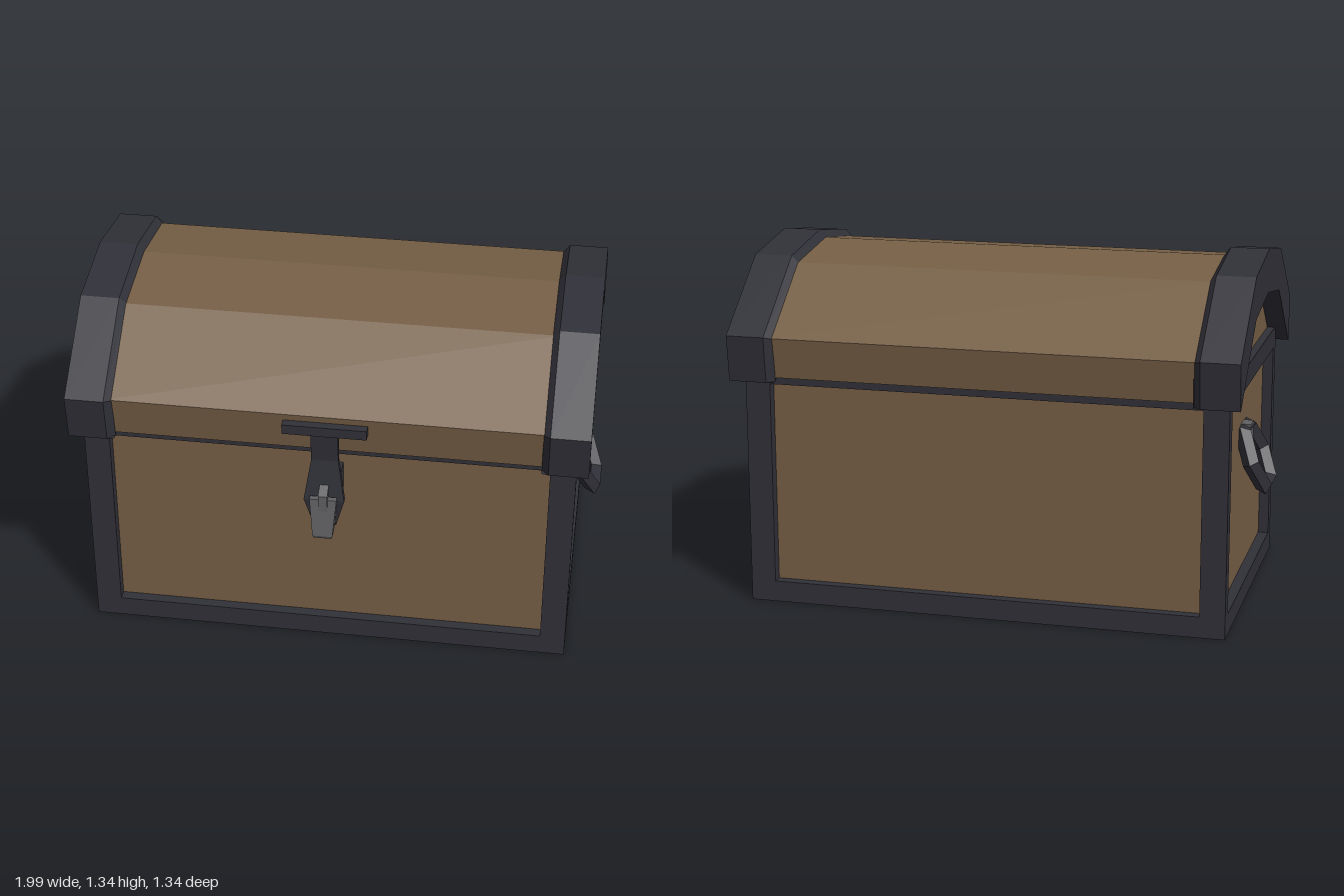
import * as THREE from 'three';

const mat = (name, color) => {
  const m = new THREE.MeshStandardMaterial({ color, flatShading: true });
  m.name = name;
  return m;
};

// Joins cross-sections (arrays of [x, y, z]) into a closed, flat-shaded solid
function loft(rings) {
  const pos = [];
  const tri = (a, b, c) => pos.push(...a, ...b, ...c);
  const n = rings[0].length;
  for (let i = 0; i < rings.length - 1; i++) {
    for (let j = 0; j < n; j++) {
      const k = (j + 1) % n;
      const a = rings[i][j], b = rings[i][k], c = rings[i + 1][k], d = rings[i + 1][j];
      tri(a, b, c);
      tri(a, c, d);
    }
  }
  const first = rings[0], last = rings[rings.length - 1];
  for (let j = 1; j < n - 1; j++) {
    tri(first[0], first[j + 1], first[j]);
    tri(last[0], last[j], last[j + 1]);
  }
  const g = new THREE.BufferGeometry();
  g.setAttribute('position', new THREE.Float32BufferAttribute(pos, 3));
  g.computeVertexNormals();
  return g;
}

// Rectangular section for lofts that run downwards
const rect = (y, half, back, front) => [[half, y, back], [half, y, front], [-half, y, front], [-half, y, back]];

// Half profile as [z, y] from front edge to ridge, mirrored to the back
const fullArch = (half) => [...half, ...half.slice(0, -1).reverse().map(([z, y]) => [-z, y])];

// Solid with a (z, y) profile, centred across x
function slab(profile, width) {
  const shape = new THREE.Shape(profile.map(([z, y]) => new THREE.Vector2(z, y)));
  const g = new THREE.ExtrudeGeometry(shape, { depth: width, bevelEnabled: false });
  g.translate(0, 0, -width / 2);
  g.rotateY(-Math.PI / 2);
  return g;
}

export function createModel() {
  const wood = mat('wood', 0x765f46);
  const iron = mat('dark iron', 0x303038);
  const steel = mat('grey steel', 0x616164);

  const model = new THREE.Group();
  model.name = 'chest';
  const body = new THREE.Group();
  body.name = 'chestBody';
  body.position.z = -0.028;
  model.add(body);

  const add = (parent, name, geometry, material) => {
    const mesh = new THREE.Mesh(geometry, material);
    mesh.name = name;
    parent.add(mesh);
    return mesh;
  };
  // Box given by its limits
  const box = (parent, name, material, [x0, x1], [y0, y1], [z0, z1]) => {
    const g = new THREE.BoxGeometry(x1 - x0, y1 - y0, z1 - z0);
    g.translate((x0 + x1) / 2, (y0 + y1) / 2, (z0 + z1) / 2);
    return add(parent, name, g, material);
  };

  // Recessed wooden panels and the iron base
  const W = 0.91, D = 0.568, H = 0.93;
  box(body, 'panels', wood, [-0.87, 0.87], [0.04, 0.9], [-0.528, 0.528]);
  box(body, 'base', iron, [-W, W], [0, 0.08], [-D, D]);

  // Iron frame: posts and top rails
  for (const sx of [-1, 1]) {
    const span = (a, b, s) => (s > 0 ? [a, b] : [-b, -a]);
    for (const sz of [-1, 1]) {
      box(body, 'cornerPost', iron, span(0.815, W, sx), [0.08, H - 0.08], span(0.51, D, sz));
    }
    box(body, 'sideRail', iron, span(0.815, W, sx), [H - 0.08, H], [-D, D]);
    box(body, 'longRail', iron, [-0.815, 0.815], [H - 0.08, H - 0.03], span(0.5, D, sx));
  }

  // Faceted wooden lid and its end walls
  const lidLine = fullArch([[0.588, 0.88], [0.61, 1.032], [0.31, 1.265], [0, 1.31]]);
  add(body, 'lid', slab(lidLine, 1.62), wood);
  const wallLine = fullArch([[0.545, 0.925], [0.31, 1.15], [0, 1.2]]);
  add(body, 'lidEndWalls', slab(wallLine, 1.76), wood);

  // Everything that repeats at both ends: arch band and ring handle
  const outer = fullArch([[0.618, 0.866], [0.638, 1.04], [0.318, 1.29], [0, 1.34]]);
  const inner = fullArch([[0.612, 0.866], [0.52, 0.943], [0.295, 1.13], [0, 1.175]]);
  const under = fullArch([[0.588, 0.866], [0.608, 1.03], [0.308, 1.263], [0, 1.308]]);
  const archGeometry = loft(outer.map(([oz, oy], i) => {
    const [iz, iy] = inner[i], [uz, uy] = under[i];
    return [[0.81, oy, oz], [0.955, oy, oz], [0.955, iy, iz], [0.785, iy, iz], [0.785, uy, uz]];
  }));
  const ringGeometry = new THREE.TorusGeometry(0.128, 0.032, 4, 6).toNonIndexed();
  ringGeometry.computeVertexNormals();
  ringGeometry.rotateY(Math.PI / 2);
  for (const turn of [0, Math.PI]) {
    const end = new THREE.Group();
    end.name = turn ? 'rightEnd' : 'leftEnd';
    end.rotation.y = turn;
    body.add(end);
    add(end, 'lidBand', archGeometry, iron);
    const ring = add(end, 'ringHandle', ringGeometry, iron);
    ring.position.set(0.925, 0.543, 0);
    ring.rotation.z = 0.39;
    box(end, 'handleBracket', steel, [0.86, 0.908], [0.6, 0.672], [-0.035, 0.035]);
  }

  // Hasp: crossbar, bent strap and staple block
  const latch = new THREE.Group();
  latch.name = 'latch';
  model.add(latch);
  box(latch, 'haspCrossbar', iron, [-0.155, 0.155], [0.968, 1.006], [0.565, 0.612]);
  add(latch, 'haspStrap', loft([
    rect(0.985, 0.05, 0.585, 0.608),
    rect(0.855, 0.05, 0.575, 0.597),
    rect(0.695, 0.075, 0.602, 0.625),
    rect(0.575, 0.042, 0.585, 0.607),
  ]), iron);
  box(latch, 'stapleBlock', iron, [-0.055, 0.055], [0.66, 0.785], [0.5, 0.605]);

  // Padlock with its shackle
  add(latch, 'shackle', loft([
    [[0.017, 0.765, 0.6], [0.017, 0.735, 0.658], [-0.017, 0.735, 0.658], [-0.017, 0.765, 0.6]],
    rect(0.67, 0.017, 0.6, 0.658),
  ]), steel);
  add(latch, 'padlock', loft([
    rect(0.715, 0.05, 0.628, 0.65),
    rect(0.565, 0.037, 0.618, 0.67),
    rect(0.553, 0.033, 0.622, 0.665),
  ]), steel);

  return model;
}
